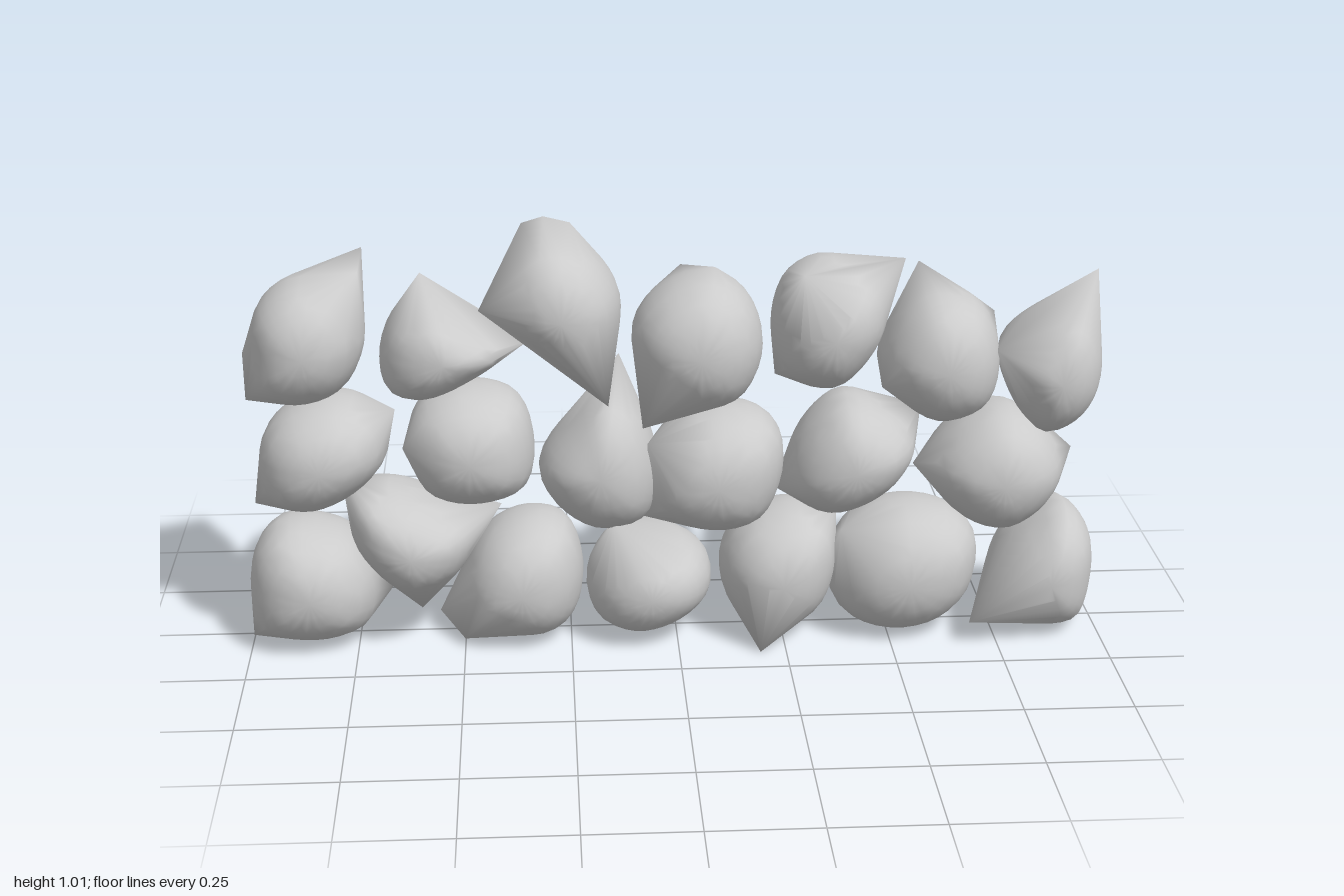
import * as THREE from 'three';
import { ConvexGeometry } from 'three/addons/geometries/ConvexGeometry.js';
import { mergeVertices } from 'three/addons/utils/BufferGeometryUtils.js';

const RINGS = 16, SIDES = 32, DEPTH = 0.176;

// Rounded body lofted through a front outline (x, y pairs in hundredths),
// wrapped together with a few pointed corners (x, y, z) into one convex stone.
function stoneGeometry(outline, tips) {
  const knots = [];
  for (let i = 0; i < outline.length; i += 2) {
    knots.push(new THREE.Vector3(outline[i] / 100, outline[i + 1] / 100, 0));
  }
  const curve = new THREE.CatmullRomCurve3(knots, true, 'centripetal');
  const rim = curve.getSpacedPoints(SIDES).slice(0, SIDES);
  const c = new THREE.Box3().setFromPoints(rim).getCenter(new THREE.Vector3());

  const points = tips.map(([x, y, z]) => new THREE.Vector3(x / 100, y / 100, z / 100));
  for (let i = 1; i < RINGS; i++) {
    const t = Math.PI * i / RINGS;
    const s = Math.pow(Math.sin(t), 0.86);
    const z = DEPTH * Math.sign(Math.cos(t)) * Math.pow(Math.abs(Math.cos(t)), 0.95);
    for (const p of rim) {
      points.push(new THREE.Vector3(
        THREE.MathUtils.clamp(c.x + (p.x - c.x) * s, -1, 1),
        Math.max(0, c.y + (p.y - c.y) * s), z));
    }
  }
  points.push(new THREE.Vector3(c.x, c.y, DEPTH), new THREE.Vector3(c.x, c.y, -DEPTH));

  // Share the hull's corners so the surface shades smoothly
  const hull = new ConvexGeometry(points);
  hull.deleteAttribute('normal');
  const smooth = mergeVertices(hull, 1e-5);
  smooth.computeVertexNormals();
  return smooth;
}

export function createModel() {
  const wall = new THREE.Group();
  wall.name = 'stoneWall';
  const material = new THREE.MeshStandardMaterial({ color: 0xcccccc });

  let course;
  const startCourse = (name) => {
    course = new THREE.Group();
    course.name = name;
    wall.add(course);
  };
  const stone = (outline, ...tips) => {
    const mesh = new THREE.Mesh(stoneGeometry(outline, tips), material);
    mesh.name = 'stone' + (course.children.length + 1);
    course.add(mesh);
  };

  // Bottom course, from -x to +x
  startCourse('bottomCourse');
  stone([-99, 4, -99, 22, -93, 29, -84, 29, -75, 25, -70, 15, -72, 5, -80, 1, -92, 1], [-68, 4, -17], [-100, 1, 3]);
  stone([-75, 37, -68, 38, -58, 35, -47, 28, -50, 18, -60, 12, -68, 15, -76, 26], [-41, 30, -5], [-78, 40, 0], [-60, 8, 5]);
  stone([-50, 6, -50, 16, -44, 26, -35, 30, -26, 28, -22, 18, -24, 6, -30, 1, -40, 1], [-56, 5, 0], [-50, 2, 10]);
  stone([-14, 25, -3, 25, 7, 19, 8, 11, 1, 4, -10, 1, -19, 5, -21, 15], [-15, 31, 10], [5, 2, -17]);
  stone([11, 20, 17, 28, 28, 31, 36, 28, 38, 18, 34, 6, 25, 1, 15, 4, 11, 11], [37, 3, -17], [19, 0, 17], [38, 30, 0]);
  stone([36, 15, 41, 26, 52, 31, 65, 29, 71, 23, 70, 10, 62, 2, 49, 0, 39, 5], [38, 28, 11]);
  stone([75, 6, 77, 18, 84, 26, 92, 30, 98, 24, 99, 12, 96, 2, 88, 0, 80, 2], [68, 6, 16.5], [99, 1, -6]);

  // Middle course
  startCourse('middleCourse');
  stone([-95, 36, -96, 49, -90, 57, -77, 60, -68, 55, -67, 46, -75, 37, -86, 33], [-99, 31, -6], [-65, 56, 0]);
  stone([-62, 46, -60, 57, -50, 62, -37, 59, -33, 49, -35, 38, -47, 34, -58, 37], [-63, 50, 10], [-45, 34, -10]);
  stone([-32, 42, -25, 53, -15, 61, -8, 55, -4, 41, -7, 30, -18, 27, -28, 33], [-13, 67, -5]);
  stone([-6, 32, -5, 47, 5, 55, 18, 55, 24, 50, 25, 40, 20, 29, 8, 26], [-7, 50, 10], [-8, 29, 2]);
  stone([26, 36, 29, 49, 39, 58, 50, 54, 56, 47, 53, 39, 44, 32, 34, 30], [60, 49, -16], [23, 35, 0]);
  stone([59, 40, 65, 50, 76, 55, 86, 50, 91, 40, 87, 31, 77, 25, 66, 29], [95.5, 40, -9], [56, 40, 0]);

  // Top course
  startCourse('topCourse');
  stone([-97, 72, -95, 82, -87, 88, -76, 87, -71, 75, -76, 63, -87, 59, -96, 62], [-72, 91, -14], [-72, 90, 3], [-100, 68, -7], [-99, 59, 0]);
  stone([-68, 69, -65, 79, -57, 84, -46, 79, -38, 72, -48, 64, -59, 60, -66, 62], [-58, 90, 4], [-34, 72, 0]);
  stone([-40, 80, -38, 91, -30, 97, -20, 94, -13, 84, -14, 72, -19, 66, -31, 70], [-35, 99.5, -2], [-30, 101, -2], [-24, 99.5, -2], [-45, 82, 8], [-16, 60, 12]);
  stone([-10, 75, -4, 84, 8, 88, 17, 82, 20, 70, 15, 59, 4, 56, -7, 62], [-8, 53, 8], [12, 56, -17], [2, 85, -16], [9, 89, 0]);
  stone([22, 74, 25, 86, 34, 91, 46, 86, 48, 75, 37, 61, 25, 64], [54, 88, -8], [28, 91, 15], [23, 63, 0]);
  stone([47, 66, 52, 78, 59, 83, 70, 80, 75, 68, 72, 56, 61, 52, 52, 57], [77, 72, -17], [58, 85.5, -14], [47, 62, 8]);
  stone([76, 69, 84, 77, 93, 80, 98, 72, 98, 60, 93, 52, 85, 49, 77, 60], [98, 86.5, -2], [73, 71, 10]);

  return wall;
}
